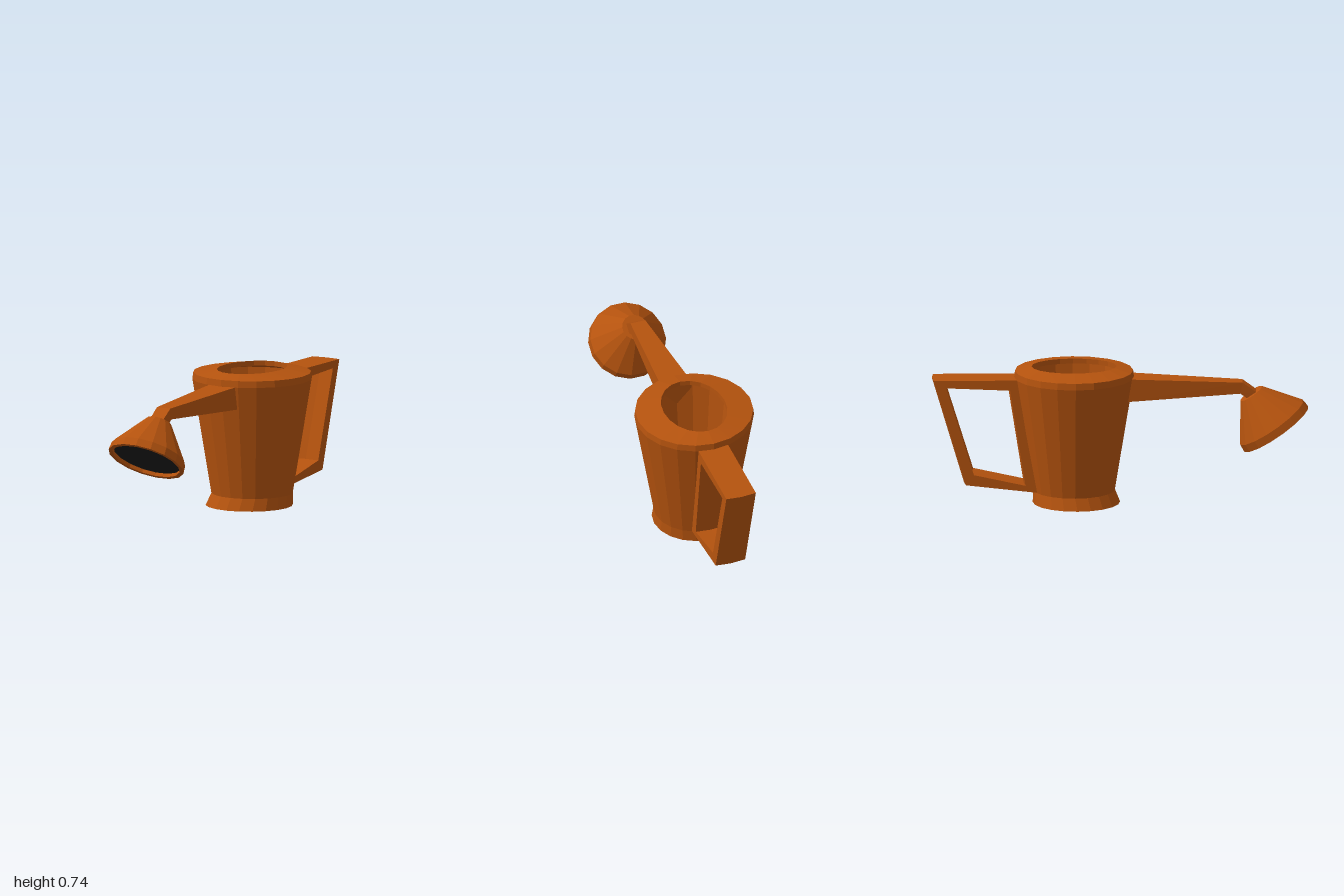
import * as THREE from 'three';

const orange = new THREE.MeshStandardMaterial({ color: 0xb5530e, flatShading: true });
const black = new THREE.MeshStandardMaterial({ color: 0x1c1c1c });
const v2 = ([x, y]) => new THREE.Vector2(x, y);

// Move every vertex of a geometry by a rule
function reshape(geometry, rule) {
  const p = geometry.attributes.position;
  const v = new THREE.Vector3();
  for (let i = 0; i < p.count; i++) {
    rule(v.fromBufferAttribute(p, i));
    p.setXYZ(i, v.x, v.y, v.z);
  }
  geometry.computeVertexNormals();
  return geometry;
}

function part(name, geometry, material = orange) {
  const mesh = new THREE.Mesh(geometry, material);
  mesh.name = name;
  return mesh;
}

// Hollow tapered can with flared foot, sloped rim and oval opening
function createBody() {
  const profile = [
    [0, 0], [0.232, 0], [0.217, 0.065], [0.318, 0.68], [0.314, 0.715],
    [0.17, 0.737], [0.17, 0.71], [0.295, 0.69], [0.205, 0.07], [0, 0.07],
  ].map(v2);
  const geometry = reshape(new THREE.LatheGeometry(profile, 20), (v) => {
    if (v.y > 0.7 && Math.hypot(v.x, v.z) < 0.2) v.z *= 1.33; // oval opening
    if (v.y < 0.01) { v.x -= 0.011; v.z += 0.012; } // foot sits slightly off centre
  });
  const body = part('body', geometry);
  body.position.z = -0.245;
  return body;
}

// Square tapered spout that bends down into the rose
function createSpout() {
  const stations = [
    { top: [0.03, 0.682], bottom: [0.03, 0.558], half: 0.083 },
    { top: [0.65, 0.65], bottom: [0.637, 0.59], half: 0.042 },
    { top: [0.725, 0.595], bottom: [0.685, 0.555], half: 0.04 },
  ];
  const geometry = new THREE.BoxGeometry(2, 2, 2, 1, 1, 2);
  return part('spout', reshape(geometry, (v) => {
    const s = stations[Math.round(v.z + 1)];
    const [z, y] = v.y > 0 ? s.top : s.bottom;
    v.set(v.x * s.half, y, z);
  }));
}

// Conical sprinkler rose with a recessed dark face
function createRose() {
  const rose = new THREE.Group();
  rose.name = 'rose';
  const profile = [
    [0.187, 0.02], [0.187, 0], [0.209, 0], [0.205, 0.044], [0.069, 0.234], [0, 0.234],
  ].map(v2);
  rose.add(part('roseCone', new THREE.LatheGeometry(profile, 16, Math.PI / 16)));
  const face = new THREE.CircleGeometry(0.188, 16, Math.PI / 16).rotateX(Math.PI / 2);
  face.translate(0, 0.02, 0);
  rose.add(part('roseFace', face, black));
  rose.position.set(0, 0.3875, 0.8275);
  rose.rotation.x = -0.598;
  return rose;
}

// Four-sided loop handle, its back edge slightly bowed
function createHandle() {
  const outline = [[-0.54, 0.68], [-1, 0.68], [-0.83, 0.11], [-0.44, 0.065]];
  const gap = [[-0.595, 0.625], [-0.935, 0.64], [-0.787, 0.165], [-0.513, 0.105]];
  const shape = new THREE.Shape(outline.map(v2));
  shape.holes.push(new THREE.Path(gap.map(v2)));
  const geometry = new THREE.ExtrudeGeometry(shape, { depth: 0.166, steps: 2, bevelEnabled: false });
  geometry.translate(0, 0, -0.083).rotateY(-Math.PI / 2);
  return part('handle', reshape(geometry, (v) => { v.z += 0.1 * Math.abs(v.x); }));
}

export function createModel() {
  const model = new THREE.Group();
  model.name = 'wateringCan';
  model.add(createBody(), createSpout(), createRose(), createHandle());
  return model;
}
